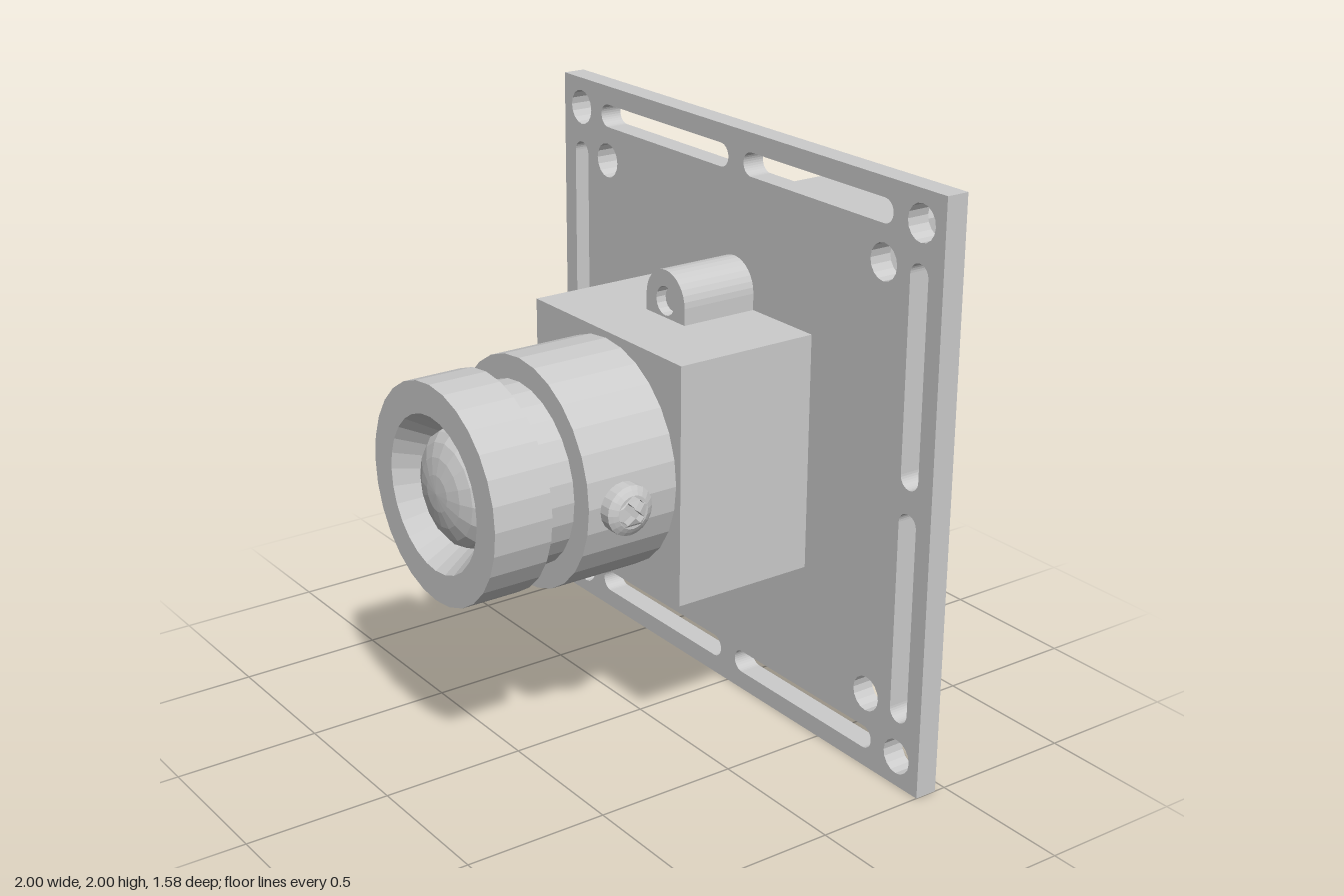
import * as THREE from 'three';

const grey = new THREE.MeshStandardMaterial({ color: 0xcccccc, flatShading: true, side: THREE.DoubleSide });

function add(parent, name, geometry, x = 0, y = 0, z = 0) {
  const mesh = new THREE.Mesh(geometry, grey);
  mesh.name = name;
  mesh.position.set(x, y, z);
  parent.add(mesh);
  return mesh;
}

const extrude = (shape, depth, curveSegments = 8) =>
  new THREE.ExtrudeGeometry(shape, { depth, bevelEnabled: false, curveSegments });

// Lathe profile given as [radius, z], turned so its axis is z
function turned(points, segments) {
  return new THREE.LatheGeometry(points.map(([r, z]) => new THREE.Vector2(r, z)), segments).rotateX(Math.PI / 2);
}

const circle = (x, y, r) => new THREE.Path().absarc(x, y, r, 0, Math.PI * 2, true);

// Round-ended slot, lying along x or y
function slot(cx, cy, halfLength, r, vertical) {
  const p = new THREE.Path(), s = halfLength - r;
  if (vertical) {
    p.absarc(cx, cy + s, r, 0, Math.PI, false);
    p.absarc(cx, cy - s, r, Math.PI, Math.PI * 2, false);
  } else {
    p.absarc(cx + s, cy, r, -Math.PI / 2, Math.PI / 2, false);
    p.absarc(cx - s, cy, r, Math.PI / 2, Math.PI * 1.5, false);
  }
  p.closePath();
  return p;
}

// Square board with corner holes and edge slots
function boardGeometry() {
  const s = new THREE.Shape([[-1, -1], [1, -1], [1, 1], [-1, 1]].map(([x, y]) => new THREE.Vector2(x, y)));
  for (const a of [-1, 1]) for (const b of [-1, 1]) {
    s.holes.push(circle(a * 0.895, b * 0.895, 0.061), circle(a * 0.735, b * 0.735, 0.061));
    s.holes.push(slot(a * 0.405, b * 0.895, 0.365, 0.04, false), slot(a * 0.895, b * 0.405, 0.365, 0.04, true));
  }
  return extrude(s, 0.08);
}

// Round-headed cross-slot screw: head points to +z, shaft to -z
function screw(name, shaftLength) {
  const g = new THREE.Group();
  g.name = name;
  const dome = r => 0.07 - 4.4 * r * r;
  const rim = [[0, 0], [0.083, 0], [0.083, dome(0.083)], [0.07, dome(0.07)], [0.055, dome(0.055)]];
  add(g, 'screwHead', turned(rim, 20));

  // Crown with a cross-shaped recess, its top lifted to follow the dome
  const crown = new THREE.Shape().absarc(0, 0, 0.055, 0, Math.PI * 2, false);
  const cross = [], w = 0.011, l = 0.043;
  for (let i = 0; i < 4; i++)
    for (const [x, y] of [[l, -w], [l, w], [w, w]])
      cross.push(new THREE.Vector2(x, y).rotateAround(new THREE.Vector2(), Math.PI / 4 + i * Math.PI / 2));
  crown.holes.push(new THREE.Path(cross));
  const geo = extrude(crown, 0.03, 10), p = geo.attributes.position;
  for (let i = 0; i < p.count; i++)
    p.setZ(i, p.getZ(i) > 0.01 ? dome(Math.hypot(p.getX(i), p.getY(i))) : 0.035);
  geo.computeVertexNormals();
  add(g, 'screwCrown', geo);
  add(g, 'recessFloor', new THREE.CircleGeometry(0.054, 20), 0, 0, 0.035);

  add(g, 'screwShaft', new THREE.CylinderGeometry(0.04, 0.04, shaftLength, 16).rotateX(Math.PI / 2), 0, 0, -shaftLength / 2);
  return g;
}

// Rounded lug with a bore, pointing up
function lugGeometry() {
  const s = new THREE.Shape();
  s.moveTo(-0.105, -0.07);
  s.lineTo(0.105, -0.07);
  s.absarc(0, 0, 0.105, 0, Math.PI, false);
  s.closePath();
  s.holes.push(circle(0, 0, 0.05));
  return extrude(s, 0.28);
}

export function createModel() {
  const root = new THREE.Group();
  root.name = 'cameraModule';
  const g = new THREE.Group();
  g.name = 'assembly';
  g.position.y = 1;
  root.add(g);

  add(g, 'board', boardGeometry(), 0, 0, -0.46);
  add(g, 'housing', new THREE.BoxGeometry(0.815, 0.815, 0.515), 0, 0.003, -0.1225);
  add(g, 'connector', new THREE.BoxGeometry(0.585, 0.17, 0.33), 0.333, 0.713, -0.625);

  // Lens barrel: wide sleeve, neck, front ring and conical opening
  add(g, 'lensBarrel', turned([
    [0.385, 0.135], [0.385, 0.465], [0.305, 0.465], [0.305, 0.585],
    [0.365, 0.585], [0.365, 0.79], [0.26, 0.79], [0.195, 0.69],
  ], 28), 0, 0.003);

  // Domed lens
  const dome = [];
  for (let i = 0; i <= 5; i++) {
    const a = (i / 5) * Math.PI / 2;
    dome.push([0.197 * Math.cos(a), 0.69 + 0.09 * Math.sin(a)]);
  }
  add(g, 'lens', turned(dome, 16), 0, 0.003);

  // Lugs and their screws through the board
  for (const side of [1, -1]) {
    const lug = add(g, side > 0 ? 'upperLug' : 'lowerLug', lugGeometry(), 0, side * 0.467, -0.38);
    if (side < 0) lug.rotation.z = Math.PI;
    const s = screw('boardScrew', 0.33);
    s.position.set(0, side * 0.467, -0.46);
    s.rotation.y = Math.PI;
    g.add(s);
  }

  // Focus locking screw on the side of the barrel
  const lock = screw('lockingScrew', 0.1);
  lock.position.set(0.415, 0.003, 0.36);
  lock.rotation.y = Math.PI / 2;
  g.add(lock);

  return root;
}
